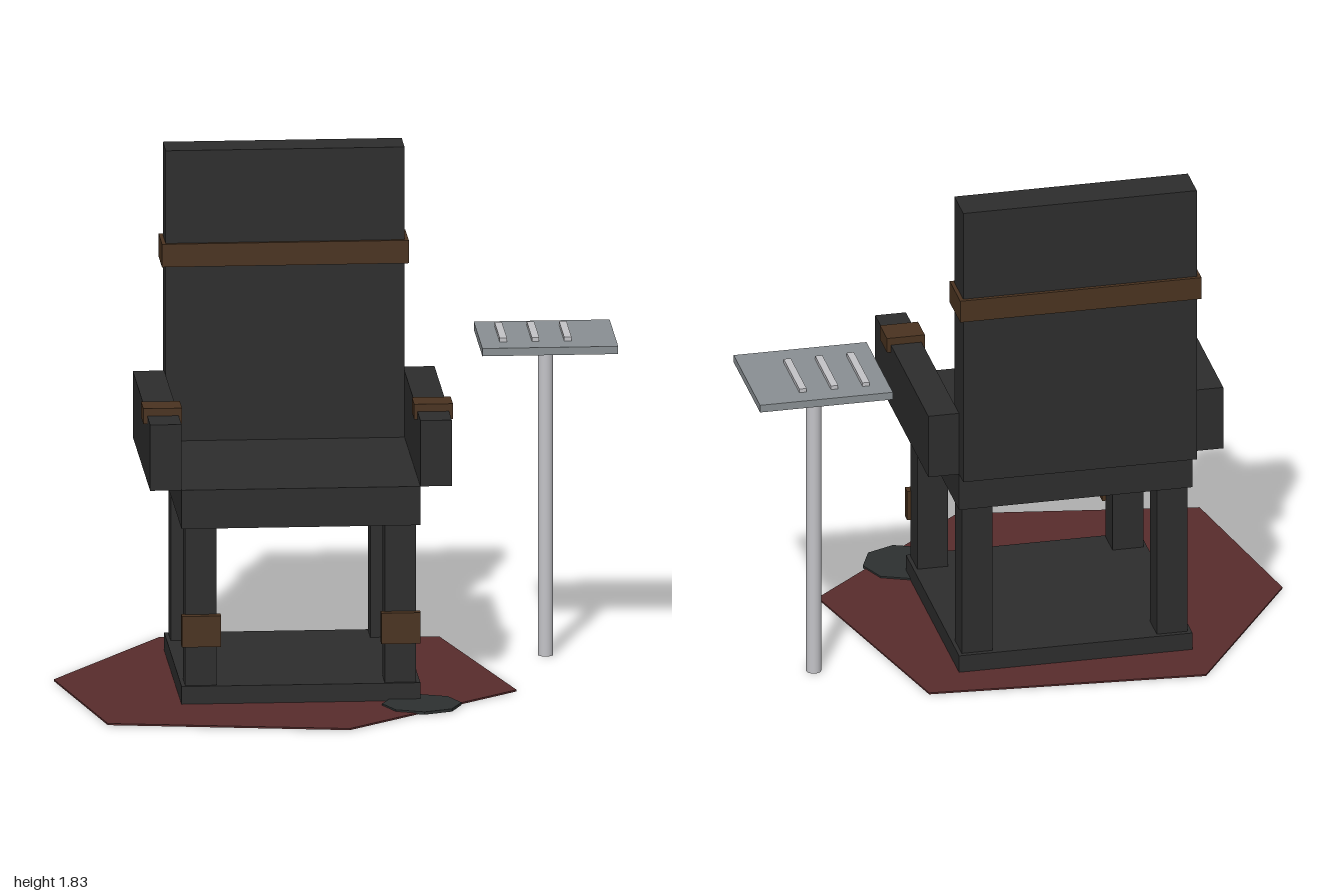
import * as THREE from 'three';

const paint = (name, color) => {
  const m = new THREE.MeshStandardMaterial({ color });
  m.name = name;
  return m;
};

export function createModel() {
  const model = new THREE.Group();
  model.name = 'strapChairSet';

  const wood = paint('charcoalWood', 0x2d2d2d);
  const leather = paint('brownLeather', 0x4a3320);
  const cloth = paint('darkRedRug', 0x582c2c);
  const trayGrey = paint('trayGrey', 0x8a9094);
  const steel = paint('lightSteel', 0xc4c4c8);
  const slate = paint('darkSlate', 0x2d3131);

  const add = (name, geometry, material, parent = model) => {
    const mesh = new THREE.Mesh(geometry, material);
    mesh.name = name;
    parent.add(mesh);
    return mesh;
  };
  // Box from its lower and upper limits on each axis
  const box = (name, material, [x0, x1], [y0, y1], [z0, z1], parent) => {
    const mesh = add(name, new THREE.BoxGeometry(x1 - x0, y1 - y0, z1 - z0), material, parent);
    mesh.position.set((x0 + x1) / 2, (y0 + y1) / 2, (z0 + z1) / 2);
    return mesh;
  };

  // Chair, built about its own centre line
  const chair = new THREE.Group();
  chair.name = 'chair';
  chair.position.x = -0.157;
  model.add(chair);
  const half = 0.422;
  const depth = [-0.53, 0.315];
  box('basePlatform', wood, [-half, half], [0.002, 0.07], depth, chair);
  box('seat', wood, [-half, half], [0.64, 0.78], depth, chair);
  box('backrest', wood, [-half, half], [0.78, 1.83], [-0.597, -0.455], chair);
  box('headStrap', leather, [-0.436, 0.436], [1.412, 1.495], [-0.611, -0.442], chair);

  // Legs, arms and their straps, mirrored left and right
  for (const [side, s] of [['left', 1], ['right', -1]]) {
    const span = (a, b) => (s > 0 ? [a, b] : [-b, -a]);
    box(side + 'FrontLeg', wood, span(0.297, 0.408), [0.07, 0.64], [0.192, 0.302], chair);
    box(side + 'BackLeg', wood, span(0.297, 0.408), [0.07, 0.64], [-0.512, -0.402], chair);
    box(side + 'Armrest', wood, span(half, 0.533), [0.78, 1.018], depth, chair);
    box(side + 'WristStrap', leather, span(0.41, 0.547), [0.99, 1.045], [0.066, 0.176], chair);
    box(side + 'AnkleStrap', leather, span(0.283, 0.422), [0.215, 0.327], [0.295, 0.331], chair);
  }

  // Irregular six-sided floor rug
  const outline = [[-0.58, -0.74], [0.405, -0.67], [0.615, 0.175], [-0.015, 0.735], [-0.86, 0.595], [-1, -0.105]];
  const shape = new THREE.Shape(outline.map(([x, z]) => new THREE.Vector2(x, -z)));
  const rug = new THREE.ExtrudeGeometry(shape, { depth: 0.006, bevelEnabled: false });
  rug.rotateX(-Math.PI / 2);
  add('rug', rug, cloth);

  // Flat eight-sided disc by the front corner
  const disc = new THREE.CylinderGeometry(0.14, 0.14, 0.01, 8).toNonIndexed();
  disc.computeVertexNormals();
  add('floorDisc', disc, slate).position.set(0.265, 0.007, 0.382);

  // Tray on a slim pole, with three instruments
  const stand = new THREE.Group();
  stand.name = 'trayStand';
  stand.position.set(0.758, 0, -0.388);
  model.add(stand);
  add('pole', new THREE.CylinderGeometry(0.027, 0.027, 1.13, 20), steel, stand).position.y = 0.565;
  box('tray', trayGrey, [-0.238, 0.242], [1.132, 1.16], [-0.212, 0.208], stand);
  for (let i = 0; i < 3; i++) {
    const x = -0.157 + i * 0.114;
    box('instrument' + (i + 1), steel, [x - 0.013, x + 0.013], [1.155, 1.174], [-0.142, 0.11], stand);
  }

  return model;
}
